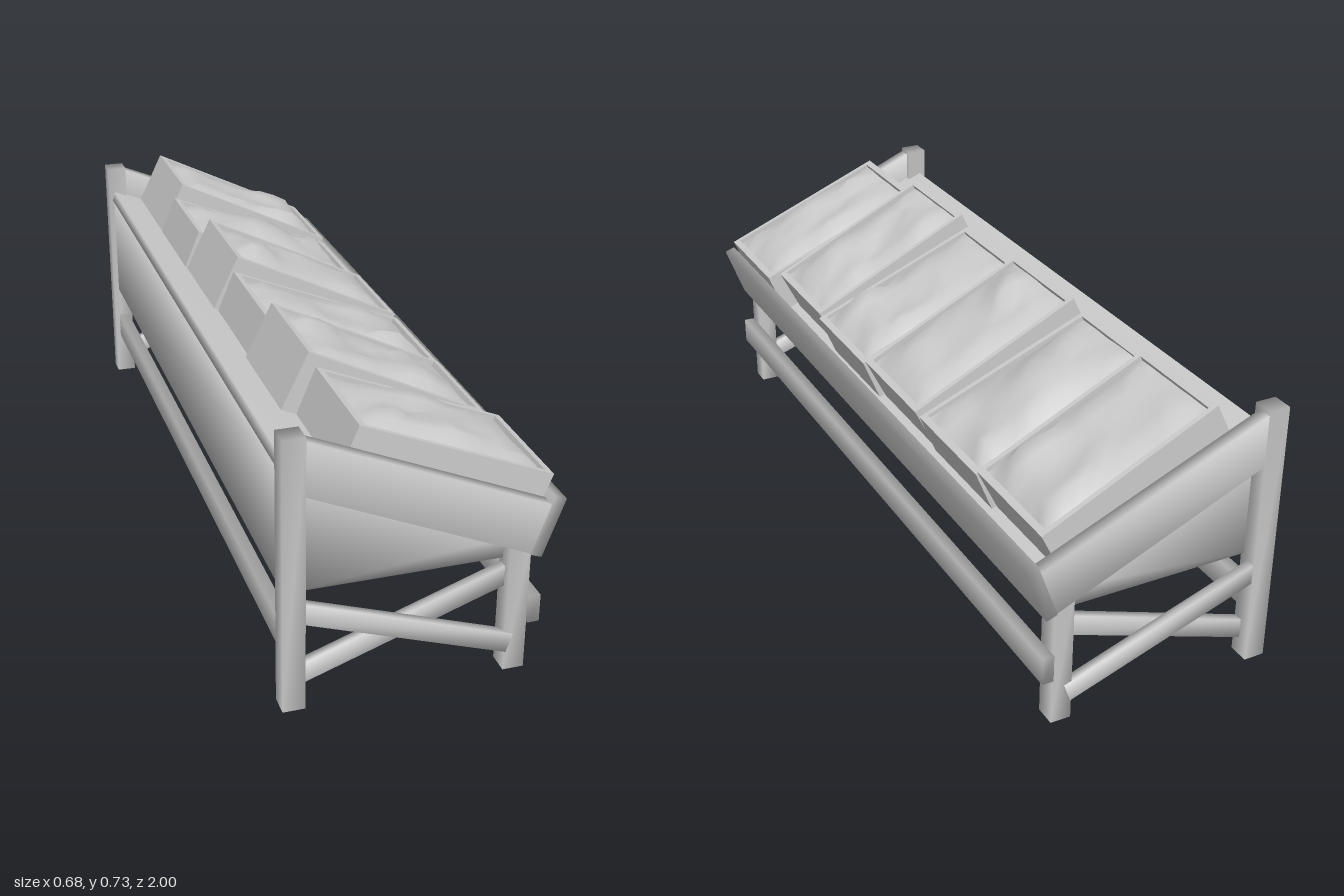
import * as THREE from 'three';
import { mergeVertices } from 'three/addons/utils/BufferGeometryUtils.js';

const mat = new THREE.MeshStandardMaterial({ color: 0xcccccc, side: THREE.DoubleSide });

// Joins the corners so that shading runs softly around every edge
function soften(geo) {
  geo.deleteAttribute('uv');
  geo.deleteAttribute('normal');
  const merged = mergeVertices(geo, 1e-4);
  merged.computeVertexNormals();
  return merged;
}

function add(parent, name, geo, x = 0, y = 0, z = 0, rz = 0) {
  const mesh = new THREE.Mesh(geo, mat);
  mesh.name = name;
  mesh.position.set(x, y, z);
  mesh.rotation.z = rz;
  parent.add(mesh);
}

const box = (w, h, d) => soften(new THREE.BoxGeometry(w, h, d));

// Prism with an x-y outline, running from z0 to z1
function prism(points, z0, z1) {
  const shape = new THREE.Shape(points.map(([x, y]) => new THREE.Vector2(x, y)));
  const geo = new THREE.ExtrudeGeometry(shape, { depth: z1 - z0, bevelEnabled: false });
  return soften(geo.translate(0, 0, z0));
}

// Sloping bar between two points in the x-y plane
function bar(parent, name, x0, y0, x1, y1, t, d, z) {
  const len = Math.hypot(x1 - x0, y1 - y0);
  add(parent, name, box(len, t, d), (x0 + x1) / 2, (y0 + y1) / 2, z, Math.atan2(y1 - y0, x1 - x0));
}

// Rectangular tube standing on y = 0, with its back edge at x = 0
function crateWalls(L, W, h, t) {
  const rect = (Type, x0, x1, w) => new Type([[x0, -w], [x1, -w], [x1, w], [x0, w]].map(([x, y]) => new THREE.Vector2(x, y)));
  const shape = rect(THREE.Shape, 0, L, W / 2);
  shape.holes.push(rect(THREE.Path, t * 1.3, L - t * 1.3, W / 2 - t));
  return new THREE.ExtrudeGeometry(shape, { depth: h, bevelEnabled: false }).rotateX(-Math.PI / 2);
}

// Crumpled heap: a coarse grid raised by seeded bumps and a little jitter
function heap(L, W, seed) {
  let s = seed * 7919 + 13;
  const rnd = () => (s = (s * 16807) % 2147483647) / 2147483647;
  rnd(); rnd();
  const bumps = Array.from({ length: 8 }, () => [
    (rnd() - 0.5) * L * 0.9, (rnd() - 0.5) * W * 0.9, 0.06 + rnd() * 0.08, rnd() * 0.035 - 0.008]);
  const geo = new THREE.PlaneGeometry(L, W, 10, 7).rotateX(-Math.PI / 2);
  const p = geo.attributes.position;
  for (let i = 0; i < p.count; i++) {
    const x = p.getX(i), z = p.getZ(i);
    let y = (rnd() - 0.5) * 0.012;
    for (const [bx, bz, r, a] of bumps) y += a * Math.max(0, 1 - Math.hypot(x - bx, z - bz) / r);
    const edge = Math.min(1, (L / 2 - Math.abs(x)) / 0.04, (W / 2 - Math.abs(z)) / 0.04);
    p.setY(i, -0.012 + 0.015 * edge + Math.min(y, 0.032) * (0.4 + 0.6 * edge));
  }
  geo.computeVertexNormals();
  return geo;
}

export function createModel() {
  const model = new THREE.Group();
  model.name = 'displayStand';

  // Legs, sloping side boards and cross braces at both ends
  for (const s of [1, -1]) {
    const end = new THREE.Group();
    end.name = s > 0 ? 'frontEnd' : 'backEnd';
    model.add(end);
    add(end, 'tallLeg', box(0.055, 0.7, 0.055), -0.3125, 0.35, s * 0.9725);
    add(end, 'shortLeg', box(0.053, 0.35, 0.055), 0.235, 0.175, s * 0.965);
    const z = s > 0 ? [0.962, 0.999] : [-0.999, -0.962];
    add(end, 'sideBoard', prism([[-0.287, 0.555], [0.262, 0.315], [0.307, 0.437], [-0.287, 0.69]], ...z));
    bar(end, 'outerBrace', -0.295, 0.255, 0.22, 0.075, 0.05, 0.025, s * 0.983);
    bar(end, 'innerBrace', -0.295, 0.072, 0.22, 0.253, 0.05, 0.025, s * 0.958);
  }

  // Long rails and the leaning front board
  add(model, 'frontRail', box(0.03, 0.072, 1.998), 0.276, 0.163, 0);
  add(model, 'backRail', box(0.03, 0.072, 1.9), -0.312, 0.163, 0);
  add(model, 'frontBoard', box(0.03, 0.155, 2), 0.2975, 0.382, 0, -0.35);

  // Wedge-shaped body and its sloping tray floor
  add(model, 'body', prism([[-0.325, 0.29], [0.21, 0.29], [0.25, 0.345], [-0.325, 0.6]], -0.955, 0.955));
  add(model, 'trayFloor', prism([[-0.33, 0.597], [0.285, 0.34], [0.292, 0.362], [-0.322, 0.624]], -0.965, 0.965));

  // Crates, tall ones tilted further: z centre, back rim x, back rim y, height, length, tilt
  const crates = [
    [0.803, -0.152, 0.69, 0.125, 0.512, 0.39],
    [0.483, -0.167, 0.727, 0.162, 0.505, 0.455],
    [0.16, -0.18, 0.69, 0.125, 0.51, 0.39],
    [-0.163, -0.165, 0.727, 0.16, 0.505, 0.455],
    [-0.485, -0.195, 0.69, 0.125, 0.515, 0.39],
    [-0.805, -0.167, 0.727, 0.16, 0.5, 0.455],
  ];
  crates.forEach(([z, x, y, h, L, tilt], i) => {
    const W = 0.314, t = 0.014;
    const crate = new THREE.Group();
    crate.name = 'crate';
    crate.position.set(x, y, z);
    crate.rotation.z = -tilt;
    model.add(crate);
    add(crate, 'crateWalls', crateWalls(L, W, h, t), 0, -h, 0);
    add(crate, 'crateBottom', box(L - 0.01, 0.012, W - 0.01), L / 2, 0.007 - h, 0);
    add(crate, 'crateContents', heap(L - 2.6 * t, W - 2 * t, i + 1), L / 2, 0, 0);
  });
  return model;
}
